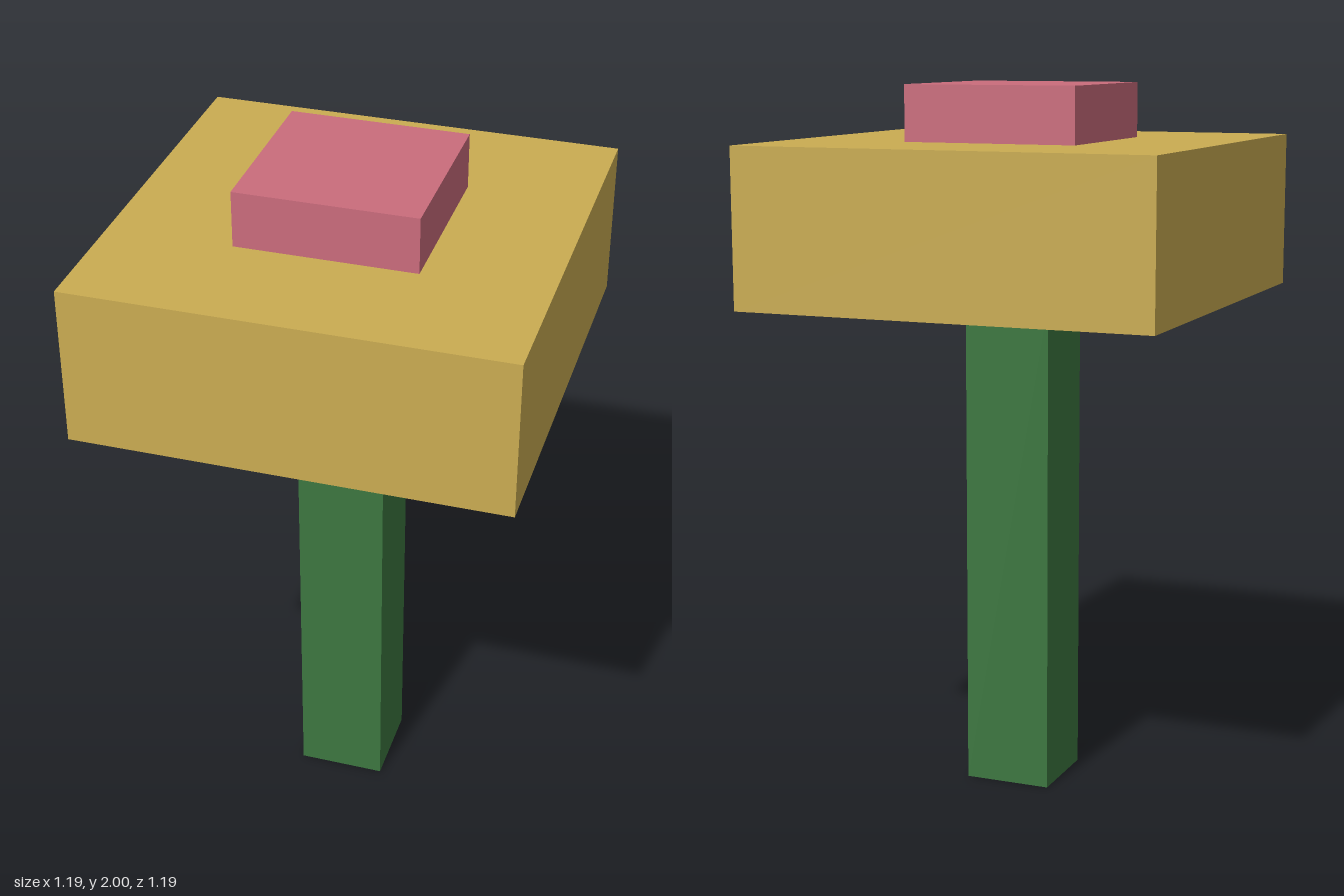
import * as THREE from 'three';

export function createModel() {
  const model = new THREE.Group();
  model.name = 'blockFlower';

  const makeMaterial = (name, color) => {
    const material = new THREE.MeshStandardMaterial({ color });
    material.name = name;
    return material;
  };
  const green = makeMaterial('stem green', 0x3c7740);
  const gold = makeMaterial('petal gold', 0xcaac52);
  const pink = makeMaterial('centre pink', 0xca6c7c);

  // Square block standing between two heights
  const addBlock = (name, width, bottom, top, material) => {
    const block = new THREE.Mesh(new THREE.BoxGeometry(width, top - bottom, width), material);
    block.name = name;
    block.position.y = (bottom + top) / 2;
    model.add(block);
  };

  addBlock('stem', 0.248, 0, 1.405, green);
  addBlock('flowerHead', 1.186, 1.405, 1.845, gold);
  addBlock('flowerCentre', 0.496, 1.845, 2, pink);

  return model;
}
